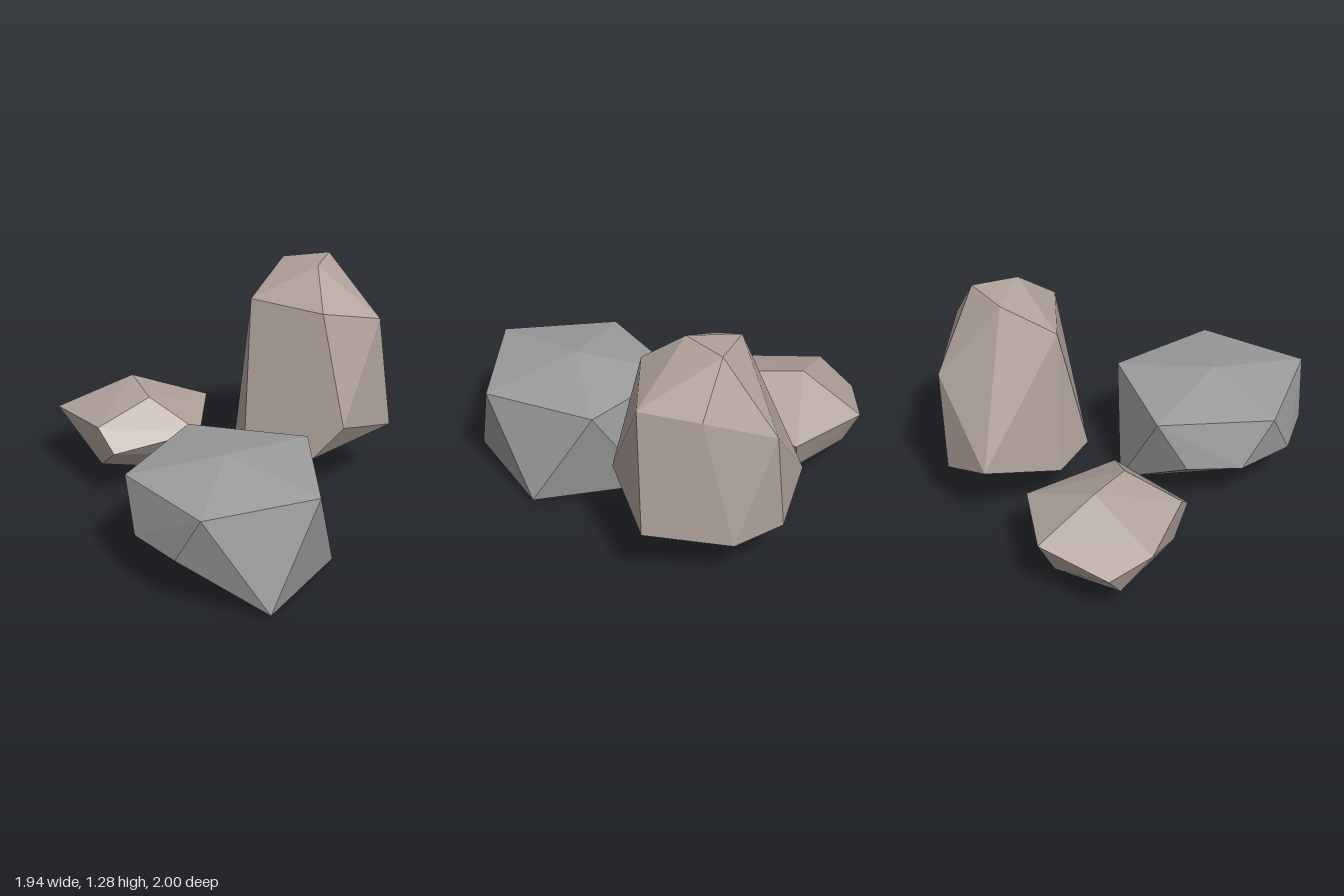
import * as THREE from 'three';
import { ConvexGeometry } from 'three/addons/geometries/ConvexGeometry.js';

// A faceted rock: the hull around a handful of corner points
function rock(name, color, corners) {
  const geometry = new ConvexGeometry(corners.map((c) => new THREE.Vector3(...c)));
  const material = new THREE.MeshStandardMaterial({ color, flatShading: true });
  const mesh = new THREE.Mesh(geometry, material);
  mesh.name = name;
  return mesh;
}

export function createModel() {
  const group = new THREE.Group();
  group.name = 'rocks';
  const brown = 0xb0a29b;
  const grey = 0x9c9c9c;

  // Broad, flat-topped boulder with an undercut left side
  group.add(rock('broadRock', grey, [
    [0.43, 0.64, 0.48], // crown
    [0.61, 0.565, 1.0], [0.97, 0.55, 0.48], [0.61, 0.565, -0.04], // rim
    [0.0, 0.555, 0.15], [0.03, 0.55, 0.78],
    [-0.04, 0.29, 0.31], [-0.04, 0.29, 0.61], // undercut
    [0.15, 0.29, 0.88], [0.45, 0.29, 0.98], [0.39, 0.13, 0.77],
    [0.88, 0.02, 0.79], [0.88, 0.02, 0.16], [0.27, 0.02, -0.04], // foot
    [0.43, 0, 0.48],
  ]));

  // Tall, tapering rock with a flat base
  group.add(rock('tallRock', brown, [
    [0.36, 1.28, -0.57], [0.30, 1.27, -0.81], [0.10, 1.255, -0.66], // peak
    [0.07, 1.10, -0.37], [0.50, 1.10, -0.38], [0.69, 1.015, -0.67], // shoulder
    [0.47, 1.01, -0.91], [0.10, 0.85, -1.0],
    [-0.21, 0.42, -0.77], [0.13, 0.37, -0.22], // lower girdle
    [0.66, 0.49, -0.35], [0.73, 0.36, -0.77],
    [-0.02, 0.29, -0.37], [0.51, 0.29, -0.30], // base
    [0.34, 0.29, -1.0], [0.04, 0.29, -0.98],
  ]));

  // Small, low rock
  group.add(rock('smallRock', brown, [
    [-0.59, 0.56, -0.20], [-0.37, 0.54, -0.04], [-0.51, 0.44, 0.25], // top
    [-0.90, 0.40, 0.08], [-0.97, 0.30, -0.14], [-0.77, 0.38, -0.49], // girdle
    [-0.32, 0.37, -0.55], [-0.07, 0.39, -0.08], [-0.38, 0.33, 0.29],
    [-0.52, 0.20, 0.21], [-0.15, 0.20, -0.18], [-0.40, 0.16, -0.45], // underside
    [-0.72, 0.19, -0.41], [-0.88, 0.165, -0.08], [-0.44, 0.08, -0.08],
  ]));

  return group;
}
